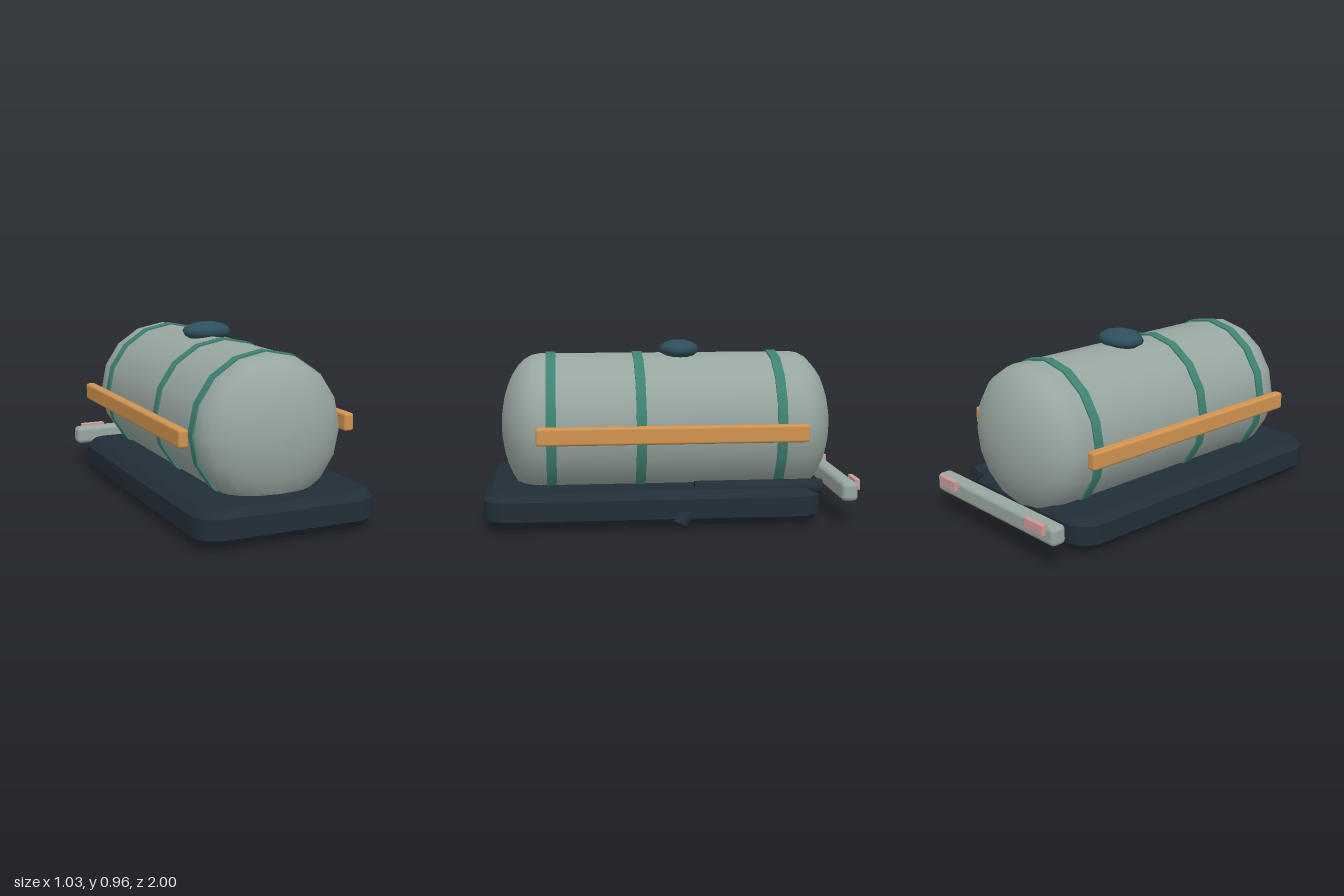
import * as THREE from 'three';
import { toCreasedNormals } from 'three/addons/utils/BufferGeometryUtils.js';
import { RoundedBoxGeometry } from 'three/addons/geometries/RoundedBoxGeometry.js';

function material(name, color) {
  const m = new THREE.MeshStandardMaterial({ color });
  m.name = name;
  return m;
}

// Plan outline with rounded corners, centred on the origin
function roundedRect(w, h, r) {
  const s = new THREE.Shape();
  const x = w / 2, y = h / 2;
  s.absarc(x - r, y - r, r, 0, Math.PI / 2);
  s.absarc(-x + r, y - r, r, Math.PI / 2, Math.PI);
  s.absarc(-x + r, -y + r, r, Math.PI, Math.PI * 1.5);
  s.absarc(x - r, -y + r, r, Math.PI * 1.5, Math.PI * 2);
  s.closePath();
  return s;
}

export function createModel() {
  const model = new THREE.Group();
  model.name = 'tankBody';
  const MID = -0.015; // centre line of the symmetric parts
  const AXIS_Y = 0.505; // height of the tank axis

  const shell = material('greyGreen', 0x98a6a0);
  const bandGreen = material('bandGreen', 0x3f8272);
  const dark = material('darkSlate', 0x222e38);
  const teal = material('hatchTeal', 0x2d4f5c);
  const orange = material('railOrange', 0xd09350);
  const pink = material('lampPink', 0xcb9a98);

  function add(name, geometry, mat, x, y, z) {
    const mesh = new THREE.Mesh(geometry, mat);
    mesh.name = name;
    mesh.position.set(x, y, z);
    model.add(mesh);
    return mesh;
  }

  // Chassis: rounded slab with chamfered rims
  const bevel = 0.04;
  const slab = new THREE.ExtrudeGeometry(roundedRect(1 - 2 * bevel, 1.79 - 2 * bevel, 0.09), {
    depth: 0.183 - 2 * bevel, bevelEnabled: true, bevelSegments: 1,
    bevelSize: bevel, bevelThickness: bevel, curveSegments: 4,
  });
  slab.rotateX(-Math.PI / 2);
  add('chassis', toCreasedNormals(slab, 0.6), dark, MID, 0.027 + bevel, 0.103);

  // Tank: cylinder with elliptical domes, turned around z
  const R = 0.394, half = 0.7, dome = 0.213;
  const profile = [];
  for (let i = 0; i <= 8; i++) {
    const a = (i / 8) * Math.PI / 2;
    profile.push(new THREE.Vector2(R * Math.sin(a), -half - dome * Math.cos(a)));
  }
  profile.push(new THREE.Vector2(R, -half + 0.03), new THREE.Vector2(R, half - 0.03));
  for (let i = 8; i >= 0; i--) {
    const a = (i / 8) * Math.PI / 2;
    profile.push(new THREE.Vector2(R * Math.sin(a), half + dome * Math.cos(a)));
  }
  profile[0].x = profile[profile.length - 1].x = 0;
  const tank = new THREE.LatheGeometry(profile, 16);
  tank.rotateX(Math.PI / 2);
  add('tank', tank, shell, MID, AXIS_Y, 0.003);

  // Bands around the tank
  for (const z of [0.642, 0.167, -0.587]) {
    const band = new THREE.CylinderGeometry(0.403, 0.403, 0.053, 16);
    band.rotateX(Math.PI / 2);
    add('tankBand', band, bandGreen, MID, AXIS_Y, z);
  }

  // Filler hatch
  const hatch = new THREE.SphereGeometry(1, 12, 8);
  hatch.scale(0.141, 0.053, 0.11);
  add('hatch', hatch, teal, -0.005, 0.918, -0.068);

  // Side rails and rear lamps, mirrored
  for (const side of [-1, 1]) {
    add(side > 0 ? 'leftRail' : 'rightRail',
      new RoundedBoxGeometry(0.055, 0.094, 1.43, 2, 0.014), orange, MID + side * 0.467, 0.507, 0.005);
    add(side > 0 ? 'leftLamp' : 'rightLamp',
      new RoundedBoxGeometry(0.145, 0.06, 0.03, 1, 0.005), pink, MID + side * 0.37, 0.217, -0.985);
  }

  // Rear bumper
  add('bumper', new RoundedBoxGeometry(0.99, 0.102, 0.088, 2, 0.025), shell, MID, 0.188, -0.934);

  // Exhaust: straight pipe on the deck, then an outlet through the chassis edge
  function pipe(name, from, to, radius) {
    const a = new THREE.Vector3(...from), b = new THREE.Vector3(...to);
    const dir = b.clone().sub(a);
    const mesh = add(name, new THREE.CylinderGeometry(radius, radius, dir.length(), 10), dark,
      ...a.clone().add(b).multiplyScalar(0.5).toArray());
    mesh.quaternion.setFromUnitVectors(new THREE.Vector3(0, 1, 0), dir.normalize());
  }
  pipe('exhaustPipe', [0.395, 0.208, -0.795], [0.395, 0.208, -0.11], 0.042);
  pipe('exhaustOutlet', [0.395, 0.208, -0.11], [0.476, 0.033, -0.02], 0.042);

  return model;
}
